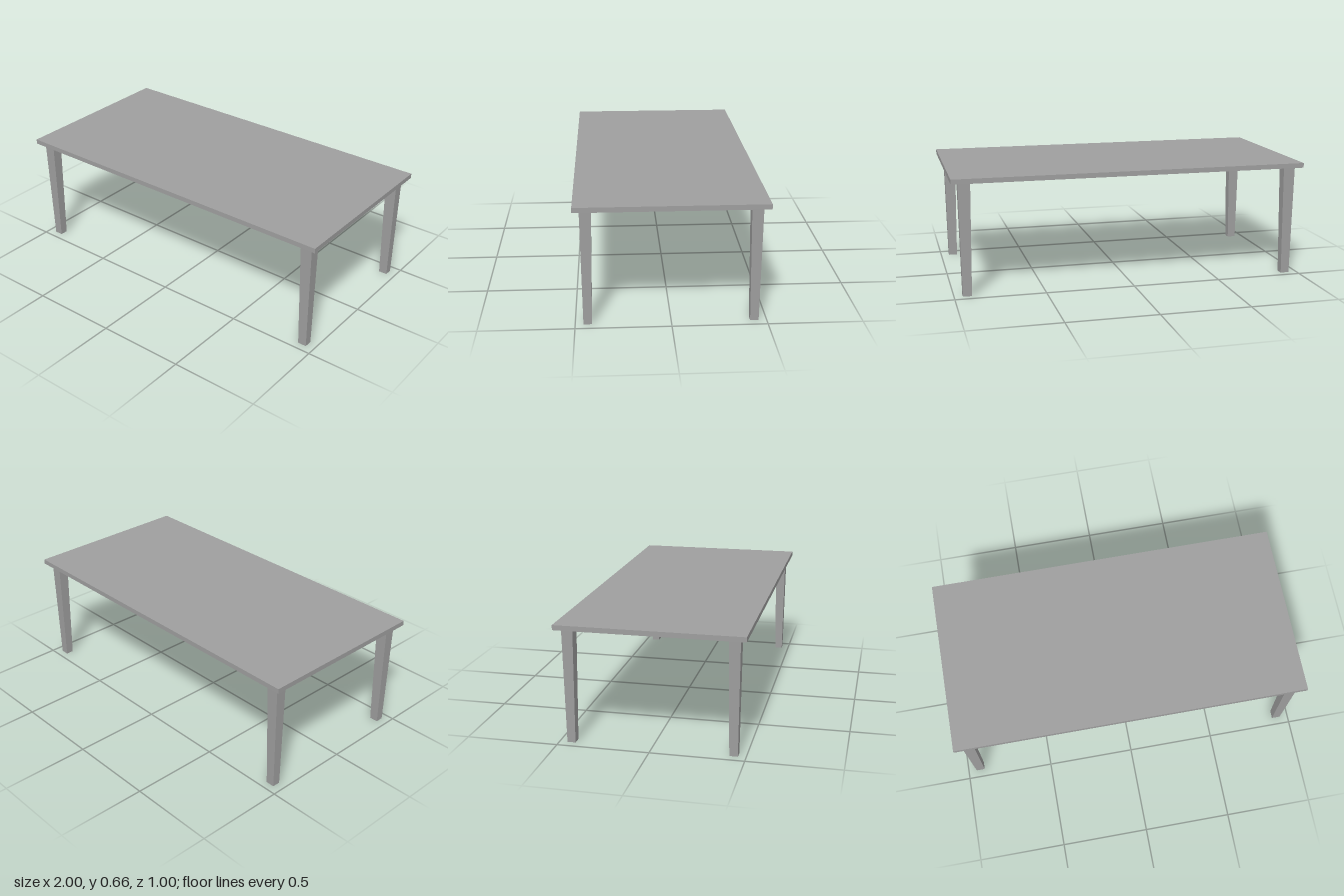
import * as THREE from 'three';

const TOP_Y = 0.657, LEG_H = 0.63;

// Square-section leg that narrows evenly towards the floor
function taperedLeg(topX, topZ, footScale) {
  const geo = new THREE.BoxGeometry(topX, LEG_H, topZ);
  const p = geo.attributes.position;
  for (let i = 0; i < p.count; i++) {
    if (p.getY(i) < 0) {
      p.setX(i, p.getX(i) * footScale);
      p.setZ(i, p.getZ(i) * footScale);
    }
  }
  geo.translate(0, LEG_H / 2, 0);
  geo.computeVertexNormals();
  return geo;
}

export function createModel() {
  const group = new THREE.Group();
  group.name = 'table';
  const material = new THREE.MeshStandardMaterial({ color: 0x9e9e9e, flatShading: true });

  // Thin rectangular top
  const thickness = TOP_Y - LEG_H;
  const top = new THREE.Mesh(new THREE.BoxGeometry(2, thickness, 1), material);
  top.name = 'tableTop';
  top.position.y = LEG_H + thickness / 2;
  group.add(top);

  // Four legs set in from the corners
  const legGeo = taperedLeg(0.067, 0.061, 0.73);
  for (const [endZ, z] of [['front', 0.435], ['back', -0.435]]) {
    for (const [endX, x] of [['Left', 0.928], ['Right', -0.928]]) {
      const leg = new THREE.Mesh(legGeo, material);
      leg.name = `${endZ}${endX}Leg`;
      leg.position.set(x, 0, z);
      group.add(leg);
    }
  }
  return group;
}
